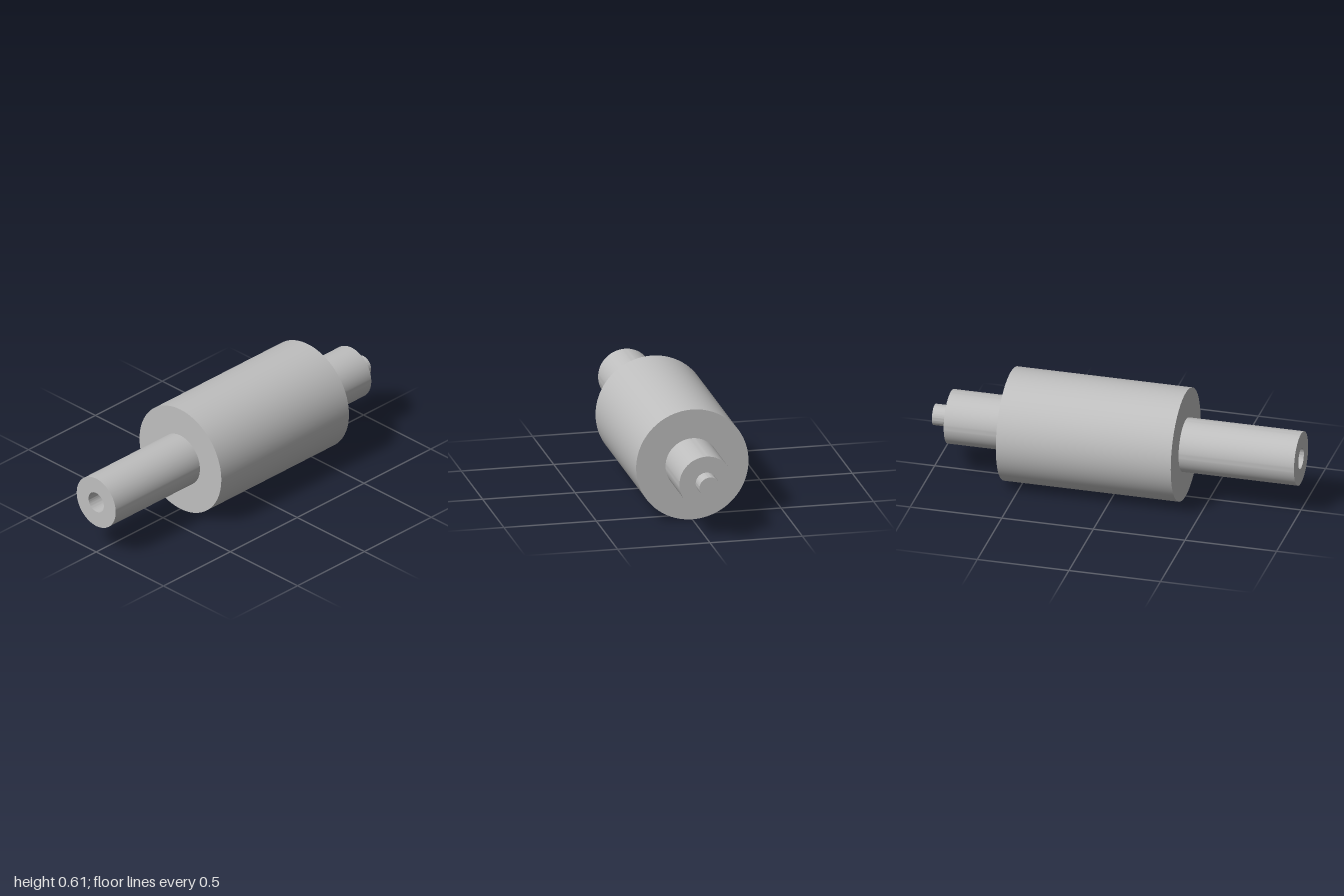
import * as THREE from 'three';
import { toCreasedNormals } from 'three/addons/utils/BufferGeometryUtils.js';

const BODY_R = 0.304, SHAFT_R = 0.145, PEG_R = 0.057;
const BODY_FRONT = 0.37, BODY_BACK = -0.585, SHAFT_BACK = -0.912;
const HOLE_DEPTH = 0.12;

export function createModel() {
  const model = new THREE.Group();
  const steel = new THREE.MeshStandardMaterial({ color: 0xbfbfbf });
  steel.name = 'steel grey';

  // Turns a [radius, z] profile, listed from back to front, around the z axis
  function turned(name, profile) {
    const points = profile.map(([r, z]) => new THREE.Vector2(r, z));
    const lathe = new THREE.LatheGeometry(points, 96).rotateX(Math.PI / 2);
    const mesh = new THREE.Mesh(toCreasedNormals(lathe, 0.6), steel);
    mesh.name = name;
    mesh.position.y = BODY_R;
    model.add(mesh);
  }

  // Peg on the back end
  turned('peg', [[0, -1], [PEG_R, -1], [PEG_R, SHAFT_BACK]]);

  // Short shaft with its shoulder around the peg
  turned('rearShaft', [[PEG_R, SHAFT_BACK], [SHAFT_R, SHAFT_BACK], [SHAFT_R, BODY_BACK]]);

  // Wide roller body with ring-shaped end faces
  turned('rollerBody', [
    [SHAFT_R, BODY_BACK], [BODY_R, BODY_BACK], [BODY_R, BODY_FRONT], [SHAFT_R, BODY_FRONT],
  ]);

  // Long front shaft with a blind hole in its end
  turned('frontShaft', [
    [SHAFT_R, BODY_FRONT], [SHAFT_R, 1], [PEG_R, 1], [PEG_R, 1 - HOLE_DEPTH], [0, 1 - HOLE_DEPTH],
  ]);

  return model;
}
